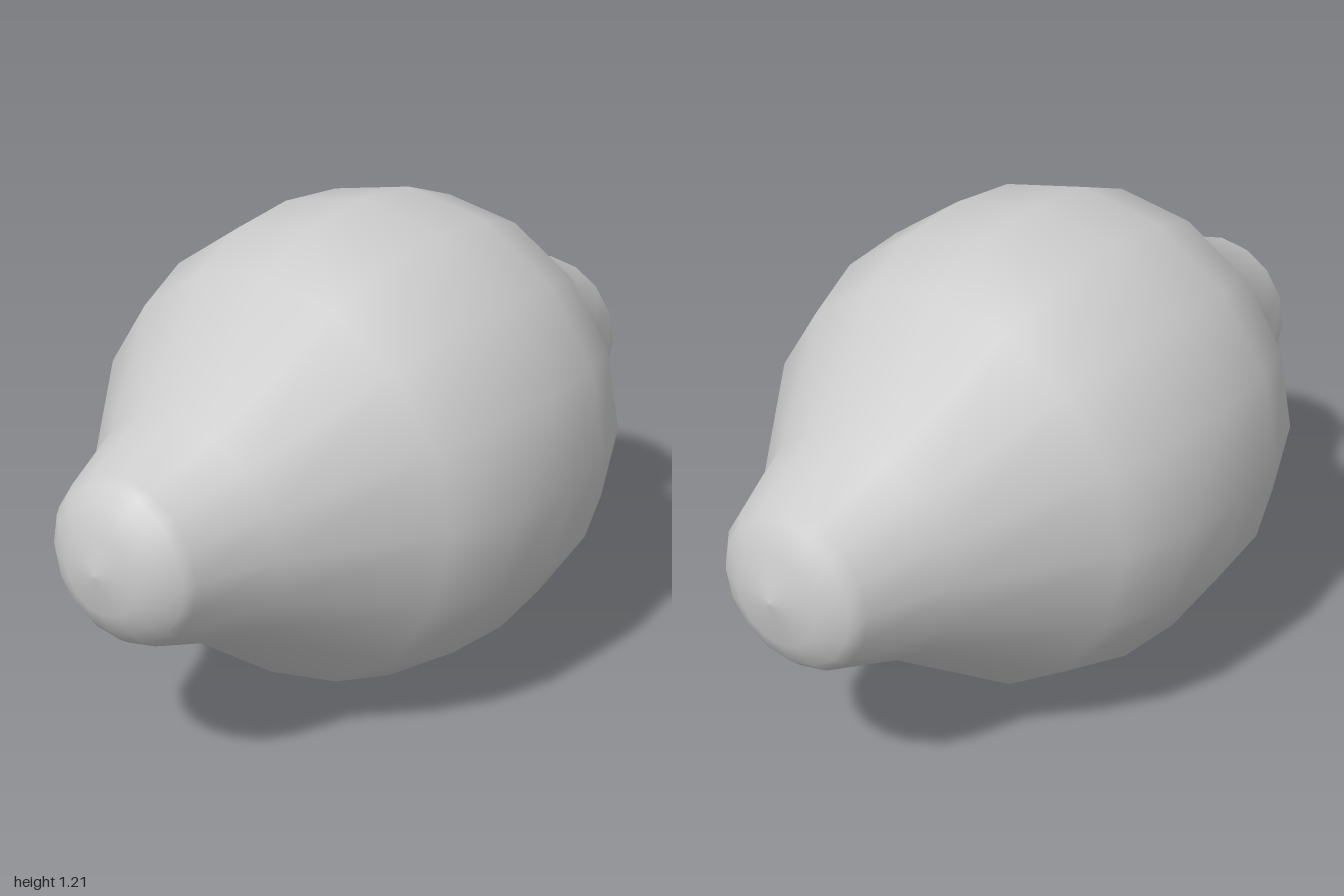
import * as THREE from 'three';

export function createModel() {
  const group = new THREE.Group();
  const material = new THREE.MeshStandardMaterial({ color: 0xcccccc, side: THREE.DoubleSide });

  // Half outline as [radius, distance along the long axis], from tip to tip
  const profile = [
    [0, -1], [0.1, -0.985], [0.155, -0.955], [0.19, -0.925], [0.207, -0.9],
    [0.28, -0.705], [0.522, -0.385], [0.588, -0.2], [0.606, 0], [0.588, 0.2],
    [0.522, 0.385], [0.29, 0.705], [0.207, 0.915], [0.18, 0.945], [0.115, 0.98], [0, 1],
  ].map(([r, a]) => new THREE.Vector2(r, a));

  // Turned body with 16 sides, laid along x
  const geometry = new THREE.LatheGeometry(profile, 16);
  geometry.rotateZ(-Math.PI / 2);
  geometry.translate(0, 0.606, 0);

  const body = new THREE.Mesh(geometry, material);
  body.name = 'body';
  group.add(body);
  return group;
}
